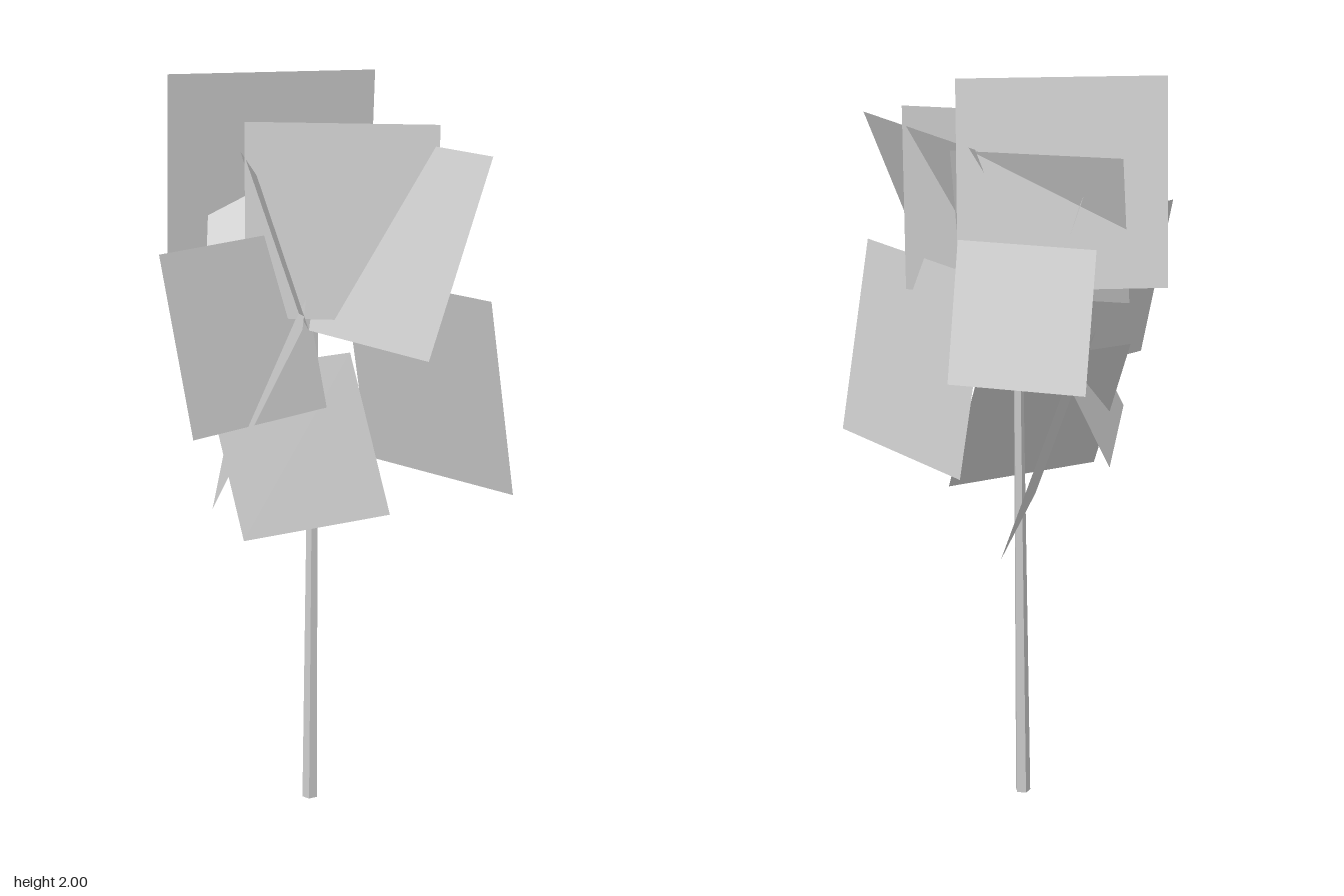
import * as THREE from 'three';

const foliage = new THREE.MeshStandardMaterial({ color: 0xcccccc, flatShading: true, side: THREE.DoubleSide });
const bark = new THREE.MeshStandardMaterial({ color: 0xcccccc, flatShading: true });

// A flat leaf card: start and end of its top edge, and the drop to its lower edge
function leafCard(start, end, drop) {
  const a = new THREE.Vector3(...start);
  const b = new THREE.Vector3(...end);
  const d = new THREE.Vector3(...drop);
  const corners = [a, b, a.clone().add(d), b.clone().add(d)];
  const geometry = new THREE.PlaneGeometry(1, 1);
  corners.forEach((c, i) => geometry.attributes.position.setXYZ(i, c.x, c.y, c.z));
  geometry.computeVertexNormals();
  return new THREE.Mesh(geometry, foliage);
}

// Slightly leaning, tapered five-sided trunk
function makeTrunk() {
  const height = 1.58;
  const geometry = new THREE.CylinderGeometry(0.011, 0.021, height, 5);
  geometry.translate(0, height / 2, 0);
  const p = geometry.attributes.position;
  for (let i = 0; i < p.count; i++) {
    const y = p.getY(i);
    p.setX(i, p.getX(i) - 0.09 + y * 0.008);
    p.setZ(i, p.getZ(i) - 0.02 - y * 0.028);
  }
  geometry.computeVertexNormals();
  const trunk = new THREE.Mesh(geometry, bark);
  trunk.name = 'trunk';
  return trunk;
}

export function createModel() {
  const tree = new THREE.Group();
  tree.name = 'tree';
  tree.add(makeTrunk());

  // Crown of square cards turned around the trunk: [name, top start, top end, drop]
  const cards = [
    ['crownLeaf', [-0.44, 2.0, 0.065], [0.08, 2.0, -0.078], [-0.025, -0.53, -0.097]],
    ['upperFrontLeaf', [-0.24, 1.885, 0.093], [0.26, 1.885, 0.1], [0, -0.505, 0.027]],
    ['upperLeftLeaf', [0.02, 1.83, -0.122], [0.4, 1.83, 0.25], [-0.147, -0.49, 0.152]],
    ['upperBackLeaf', [-0.355, 1.82, -0.105], [0.09, 1.82, -0.1], [0, -0.42, 0.15]],
    ['upperRightLeaf', [-0.275, 1.79, -0.06], [-0.18, 1.79, 0.342], [0.125, -0.395, -0.03]],
    ['backLeaf', [0.015, 1.66, -0.362], [-0.335, 1.66, -0.39], [0.008, -0.345, -0.093]],
    ['rightLeaf', [-0.42, 1.595, 0.385], [-0.12, 1.595, 0.025], [0.09, -0.455, 0.075]],
    ['leftLeaf', [0.0, 1.47, -0.055], [0.402, 1.47, 0.285], [0.06, -0.525, -0.08]],
    ['lowerRightLeaf', [-0.095, 1.43, -0.05], [-0.055, 1.43, 0.462], [-0.226, -0.46, 0.018]],
    ['lowerBackLeaf', [-0.265, 1.315, -0.42], [-0.265, 1.315, 0.07], [0.16, -0.47, 0]],
    ['lowerFrontLeaf', [-0.34, 1.245, 0.185], [0.015, 1.245, -0.085], [0.12, -0.4, 0.16]],
  ];
  for (const [name, start, end, drop] of cards) {
    const leaf = leafCard(start, end, drop);
    leaf.name = name;
    tree.add(leaf);
  }
  return tree;
}
